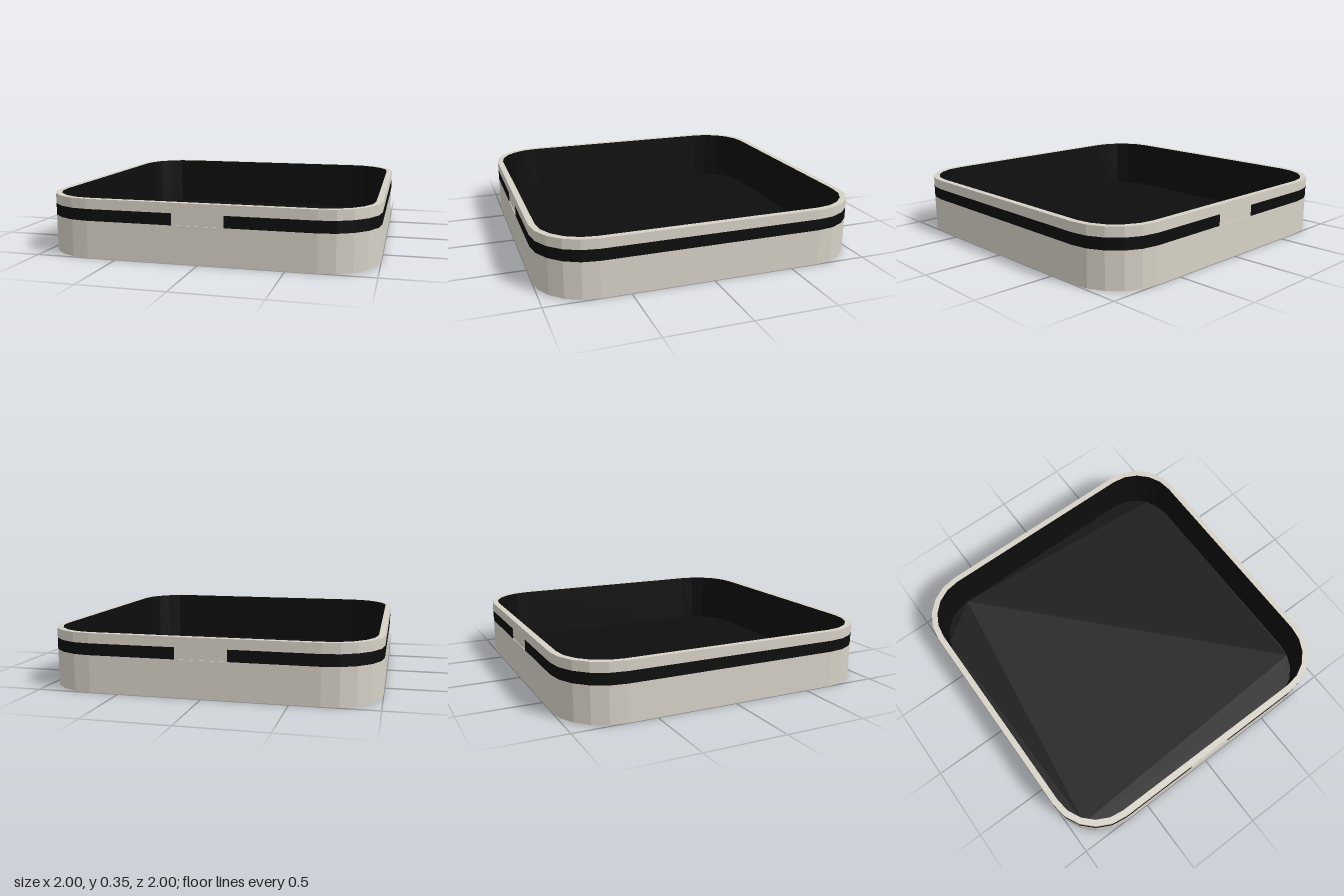
import * as THREE from 'three';

const CORNER = 0.675; // corner arcs share this centre
const STEPS = 5;      // facets per corner
const HEIGHT = 0.353, BAND_LOW = 0.223, BAND_HIGH = 0.293, FLOOR = 0.012;
const TAB = 0.155;    // half width of the gaps in the band

// One quarter-turn corner of the outline, for quadrant q
function corner(half, q) {
  const cx = q === 0 || q === 3 ? CORNER : -CORNER;
  const cy = q < 2 ? CORNER : -CORNER;
  const r = half - CORNER;
  return Array.from({ length: STEPS + 1 }, (_, i) => {
    const a = (q + i / STEPS) * Math.PI / 2;
    return new THREE.Vector2(cx + r * Math.cos(a), cy + r * Math.sin(a));
  });
}

const outline = half => [0, 1, 2, 3].flatMap(q => corner(half, q));

// Rounded square, with an optional rounded square hole
function plate(outer, inner) {
  const shape = new THREE.Shape(outline(outer));
  if (inner) shape.holes.push(new THREE.Path(outline(inner)));
  return shape;
}

// One side of the band, ending at the tabs
function halfBand(outer, inner) {
  const side = h => [new THREE.Vector2(TAB, -h), ...corner(h, 3), ...corner(h, 0), new THREE.Vector2(TAB, h)];
  return new THREE.Shape([...side(outer), ...side(inner).reverse()]);
}

export function createModel() {
  const model = new THREE.Group();
  const shellMaterial = new THREE.MeshStandardMaterial({ color: 0xd6d1c6 });
  const darkMaterial = new THREE.MeshStandardMaterial({ color: 0x0d0d0d });

  function add(name, geometry, material) {
    const mesh = new THREE.Mesh(geometry, material);
    mesh.name = name;
    model.add(mesh);
    return mesh;
  }

  // Upright extrusion of a plan shape between two heights
  function addLayer(name, shape, low, high, material) {
    const geometry = new THREE.ExtrudeGeometry(shape, { depth: high - low, bevelEnabled: false });
    geometry.rotateX(-Math.PI / 2).translate(0, low, 0);
    return add(name, geometry, material);
  }

  // Pale outer shell
  addLayer('base', plate(1), 0, FLOOR - 0.006, shellMaterial);
  addLayer('lowerWall', plate(1, 0.962), FLOOR - 0.006, BAND_LOW, shellMaterial);
  addLayer('rim', plate(1, 0.962), BAND_HIGH, HEIGHT, shellMaterial);

  // Dark lining
  addLayer('floor', plate(0.962), FLOOR - 0.006, FLOOR, darkMaterial);
  addLayer('lining', plate(0.962, 0.96), FLOOR, HEIGHT, darkMaterial);

  // Dark band on both sides, with pale tabs front and back
  for (const side of [1, -1]) {
    const band = addLayer(side > 0 ? 'leftBand' : 'rightBand', halfBand(1, 0.962), BAND_LOW, BAND_HIGH, darkMaterial);
    if (side < 0) band.geometry.rotateY(Math.PI);

    const tab = new THREE.BoxGeometry(TAB * 2, BAND_HIGH - BAND_LOW, 0.033);
    add(side > 0 ? 'frontTab' : 'backTab', tab, shellMaterial)
      .position.set(0, (BAND_LOW + BAND_HIGH) / 2, side * 0.979);
  }

  return model;
}
